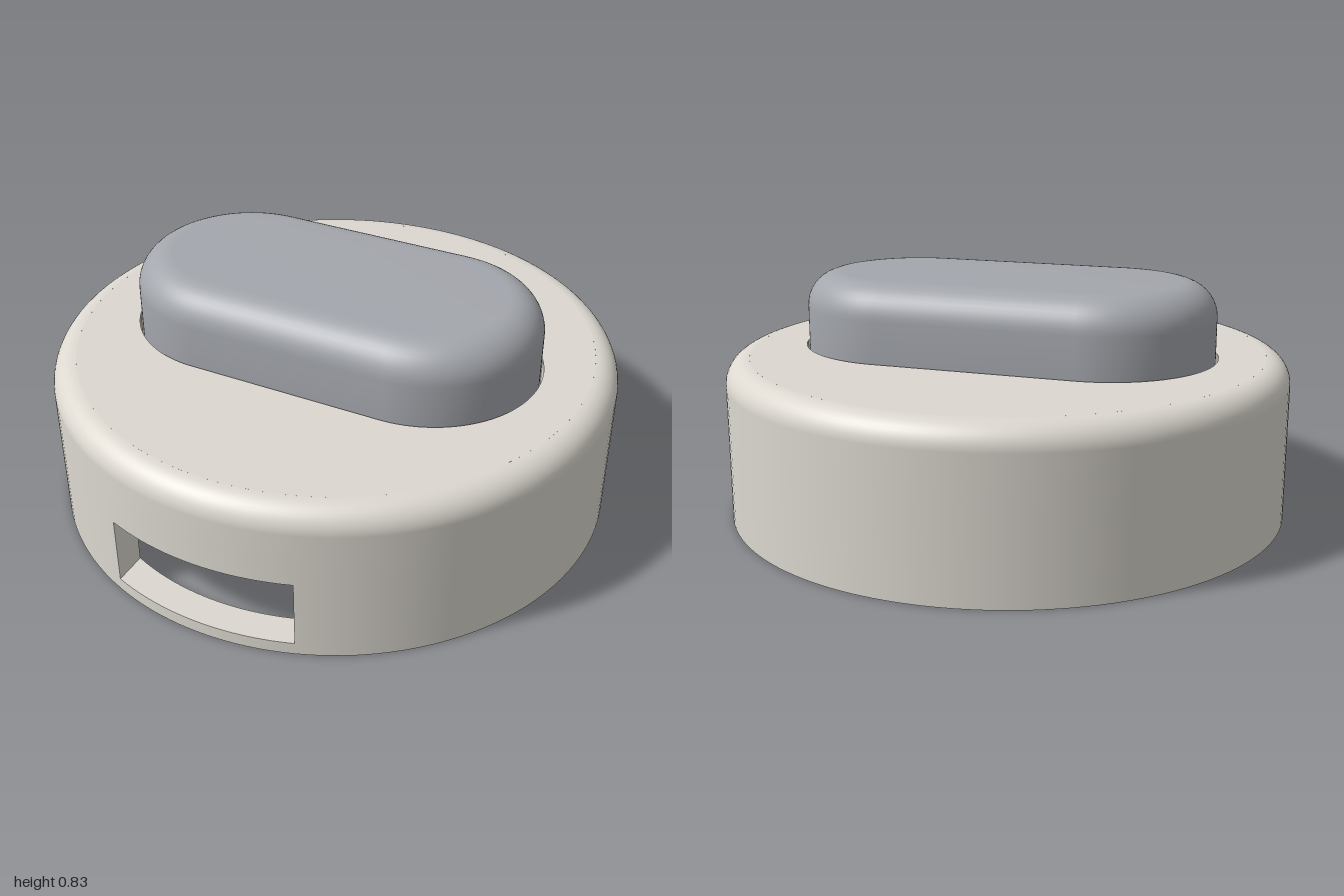
import * as THREE from 'three';
import { toCreasedNormals } from 'three/addons/utils/BufferGeometryUtils.js';

const material = (name, color) => {
  const m = new THREE.MeshStandardMaterial({ color });
  m.name = name;
  return m;
};

// Shape of a rounded slot, long in x
function slot(half, r) {
  const s = new THREE.Shape();
  s.moveTo(-half, -r);
  s.lineTo(half, -r);
  s.absarc(half, 0, r, -Math.PI / 2, Math.PI / 2, false);
  s.lineTo(-half, r);
  s.absarc(-half, 0, r, Math.PI / 2, Math.PI * 1.5, false);
  return s;
}

// Extrude a plan shape straight up from y
function upright(shape, y, options) {
  const g = new THREE.ExtrudeGeometry(shape, { curveSegments: 36, bevelEnabled: false, ...options });
  g.rotateX(-Math.PI / 2);
  g.translate(0, y, 0);
  return toCreasedNormals(g, 0.6);
}

export function createModel() {
  const root = new THREE.Group();
  const shell = material('warm grey shell', 0xdcd8d0);
  const grey = material('cool grey button', 0xa3a6ac);
  const gold = material('gold pin', 0xcfab3f);
  const add = (name, geometry, mat, x = 0, y = 0, z = 0) => {
    const mesh = new THREE.Mesh(geometry, mat);
    mesh.name = name;
    mesh.position.set(x, y, z);
    root.add(mesh);
    return mesh;
  };

  const R = 1, RI = 0.89, H = 0.57, ceiling = 0.375, fillet = 0.085;
  const w = 0.33, y0 = 0.045, y1 = 0.29; // window half width and heights

  // Wall skins: a long sweep round the back, and sills above and below the window
  const skin = (name, pts, half, front) => {
    const p = pts.map(([r, y]) => new THREE.Vector2(r, y));
    const start = front ? -half : half;
    const length = front ? 2 * half : 2 * Math.PI - 2 * half;
    add(name, new THREE.LatheGeometry(p, front ? 20 : 112, start, length), shell);
  };
  const rounded = [];
  for (let i = 0; i <= 10; i++) {
    const a = (i / 10) * Math.PI / 2;
    rounded.push([R - fillet + fillet * Math.cos(a), H - fillet + fillet * Math.sin(a)]);
  }
  const ao = Math.asin(w / R), ai = Math.asin(w / RI);
  skin('outerWall', [[R, 0], [R, 0.3], ...rounded], ao, false);
  skin('outerSill', [[R, 0], [R, y0]], ao, true);
  skin('outerLintel', [[R, y1], [R, 0.4], ...rounded], ao, true);
  skin('innerWall', [[RI, ceiling], [RI, 0]], ai, false);
  skin('innerSill', [[RI, y0], [RI, 0]], ai, true);
  skin('innerLintel', [[RI, ceiling], [RI, y1]], ai, true);
  add('bottomRim', new THREE.RingGeometry(RI, R, 128).rotateX(Math.PI / 2), shell);

  // Window reveal: the rectangle outline joined from outer to inner wall
  const outline = [], n = 20;
  for (let i = 0; i <= n; i++) outline.push([-w + (2 * w * i) / n, y0]);
  for (let i = 0; i <= n; i++) outline.push([w - (2 * w * i) / n, y1]);
  const pos = [];
  outline.forEach((a, i) => {
    const b = outline[(i + 1) % outline.length];
    const at = ([x, y], r) => [x, y, Math.sqrt(r * r - x * x)];
    const [ao1, bo, ai1, bi] = [at(a, R), at(b, R), at(a, RI), at(b, RI)];
    pos.push(...ao1, ...bo, ...bi, ...ao1, ...bi, ...ai1);
  });
  const reveal = new THREE.BufferGeometry();
  reveal.setAttribute('position', new THREE.Float32BufferAttribute(pos, 3));
  reveal.computeVertexNormals();
  add('windowReveal', reveal, shell);

  // Top plate with the button slot, closed below by the ceiling
  const plate = new THREE.Shape().absarc(0, 0, R - fillet, 0, Math.PI * 2, false);
  plate.holes.push(slot(0.355, 0.4));
  add('topPlate', upright(plate, 0.41, { depth: H - 0.41, curveSegments: 64 }), shell);
  add('ceiling', new THREE.CylinderGeometry(RI, RI, 0.035, 128), shell, 0, ceiling + 0.0175, 0);

  // Push button with a rounded top edge
  const bevel = 0.12;
  add('button', upright(slot(0.355, 0.39 - bevel), 0.41 + bevel, {
    depth: 0.835 - 0.41 - 2 * bevel, bevelEnabled: true,
    bevelThickness: bevel, bevelSize: bevel, bevelSegments: 10,
  }), grey);

  // Pins and round pads hanging from the ceiling
  for (const x of [0, 0.153])
    add('pin', new THREE.CylinderGeometry(0.073, 0.073, 0.23, 40), gold, x, 0.26, 0);
  for (const s of [-1, 1])
    add('pad', new THREE.CylinderGeometry(0.128, 0.128, 0.06, 48), shell, 0.015 * s, 0.345, 0.17 * s);

  // The reveal is an open surface, so show both sides of it
  const open = shell.clone();
  open.name = 'warm grey shell';
  open.side = THREE.DoubleSide;
  root.getObjectByName('windowReveal').material = open;
  return root;
}
